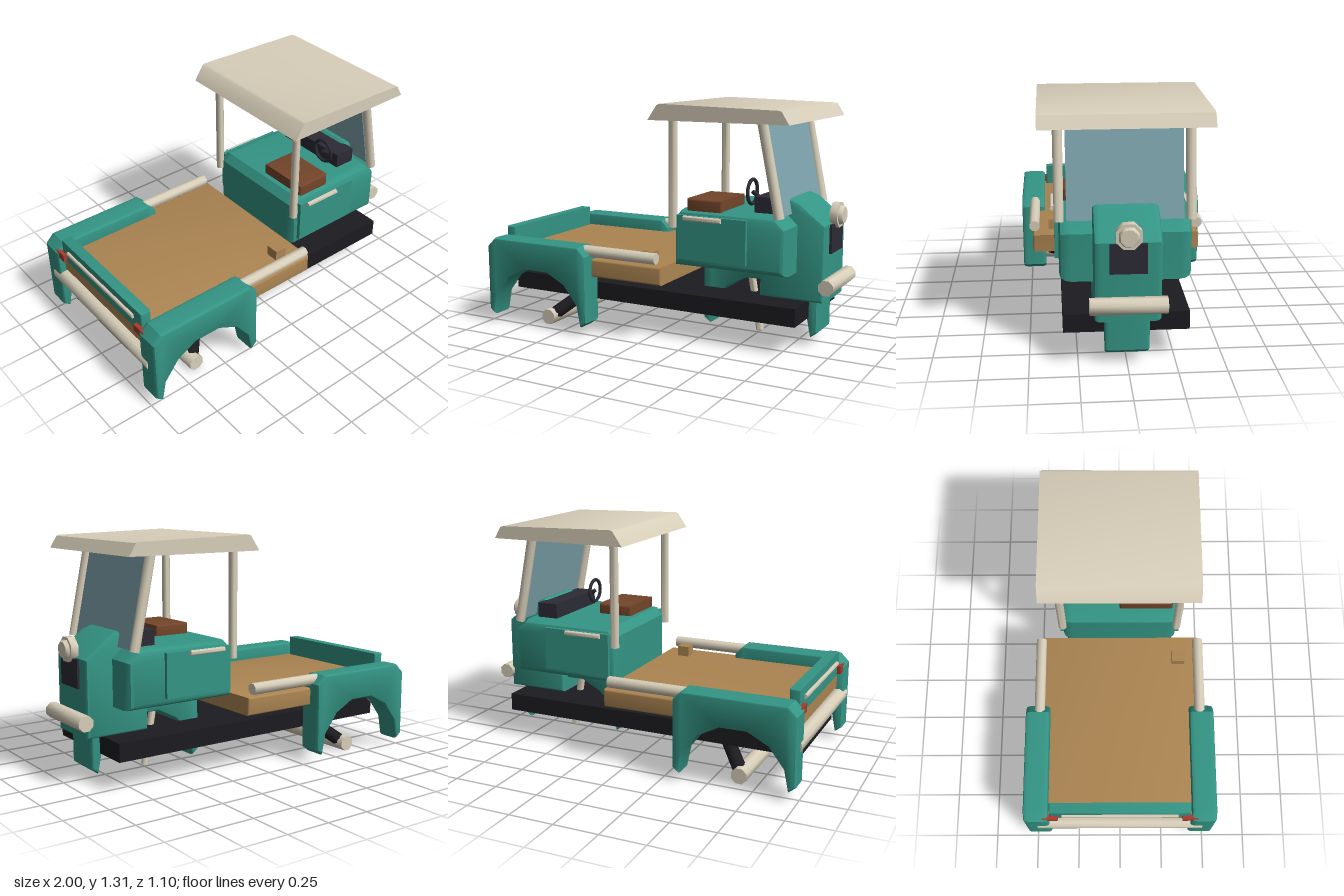
import * as THREE from 'three';
import { toCreasedNormals } from 'three/addons/utils/BufferGeometryUtils.js';

const mat = (name, color) => new THREE.MeshStandardMaterial({ name, color });

export function createModel() {
  const model = new THREE.Group();
  model.name = 'cargoTricycle';

  const green = mat('green paint', 0x349585);
  const cream = mat('cream trim', 0xd8cfba);
  const wood = mat('tan wood', 0xac8552);
  const black = mat('black chassis', 0x1c1b20);
  const dark = mat('dark grey', 0x2c2b35);
  const brown = mat('brown seat', 0x73452a);
  const red = mat('red lamp', 0xa83a2c);
  const glass = mat('blue glass', 0x7fa5ae);
  glass.side = THREE.DoubleSide;

  const add = (name, geometry, material) => {
    const mesh = new THREE.Mesh(geometry, material);
    mesh.name = name;
    model.add(mesh);
    return mesh;
  };

  // Box given by its limits on each axis
  const box = (name, material, [x0, x1], [y0, y1], [z0, z1]) =>
    add(name, new THREE.BoxGeometry(x1 - x0, y1 - y0, z1 - z0), material)
      .position.set((x0 + x1) / 2, (y0 + y1) / 2, (z0 + z1) / 2);

  // Eight-sided bar between two points
  const bar = (name, material, from, to, r, r2 = r) => {
    const a = new THREE.Vector3(...from);
    const b = new THREE.Vector3(...to);
    const geo = new THREE.CylinderGeometry(r2, r, a.distanceTo(b), 8);
    geo.rotateY(Math.PI / 8);
    const mesh = add(name, toCreasedNormals(geo, 0.9), material);
    mesh.position.copy(a).add(b).multiplyScalar(0.5);
    mesh.quaternion.setFromUnitVectors(new THREE.Vector3(0, 1, 0), b.sub(a).normalize());
    return mesh;
  };

  // Side profile extruded across z, with edges rounded inside the outline
  const slab = (name, material, points, z0, z1, size = 0, thickness = size) => {
    const shape = new THREE.Shape(points.map(([x, y]) => new THREE.Vector2(x, y)));
    const geo = new THREE.ExtrudeGeometry(shape, {
      depth: z1 - z0 - 2 * thickness,
      bevelEnabled: size > 0,
      bevelSize: size,
      bevelThickness: thickness,
      bevelOffset: -size,
      bevelSegments: 3,
    });
    geo.translate(0, 0, z0 + thickness);
    return add(name, toCreasedNormals(geo, 0.6), material);
  };

  // Chassis and cargo bed
  box('chassis', black, [-0.95, 0.84], [0.165, 0.265], [-0.325, 0.325]);
  slab('cargoBed', wood, [[-0.95, 0.335], [0.13, 0.335], [0.13, 0.435], [-0.95, 0.435]], -0.48, 0.48, 0.012);
  box('bedBlock', wood, [-0.04, 0.03], [0.43, 0.495], [0.315, 0.39]);

  // Wheel arches share one profile
  const arch = [
    [-0.34, 0.08], [-0.3, 0.05], [-0.275, 0.17], [-0.19, 0.28], [-0.075, 0.34],
    [0.075, 0.34], [0.19, 0.28], [0.275, 0.17], [0.3, 0.05], [0.34, 0.08],
    [0.34, 0.46], [0.29, 0.51], [-0.29, 0.51], [-0.34, 0.46],
  ];
  const fender = (name, x, z0, z1) =>
    slab(name, green, arch.map(([px, y]) => [px + x, y]), z0, z1, 0.012, 0.025);
  fender('frontFender', 0.547, -0.115, 0.115);

  // Paired side parts
  for (const s of [1, -1]) {
    const side = s > 0 ? 'left' : 'right';
    const span = (a, b) => (s > 0 ? [a, b] : [-b, -a]);
    fender(side + 'RearFender', -0.65, ...span(0.41, 0.55));
    bar(side + 'BedRail', cream, [-0.9, 0.48, s * 0.47], [0.1, 0.48, s * 0.47], 0.032);
    bar(side + 'AxleArm', black, [-0.49, 0.19, s * 0.22], [-0.65, 0.045, s * 0.39], 0.038);
    bar(side + 'ForkLeg', cream, [0.49, 0.36, s * 0.08], [0.545, 0.045, s * 0.08], 0.021);
    bar(side + 'RearPost', cream, [0.13, 0.635, s * 0.335], [0.13, 1.225, s * 0.335], 0.024);
    bar(side + 'FrontPost', cream, [0.748, 0.73, s * 0.335], [0.647, 1.225, s * 0.335], 0.027);
    box(side + 'Door', green, [0.163, 0.57], [0.467, 0.71], span(0.33, 0.358));
    bar(side + 'DoorHandle', cream, [0.21, 0.697, s * 0.366], [0.43, 0.697, s * 0.366], 0.014);
    box(side + 'TailLamp', red, [-0.982, -0.952], [0.43, 0.475], span(0.355, 0.445));
  }

  // Rear end
  slab('tailgate', green, [[-0.96, 0.42], [-0.9, 0.42], [-0.9, 0.555], [-0.96, 0.555]], -0.4, 0.4, 0.008);
  bar('tailgateStrip', cream, [-0.963, 0.5, -0.33], [-0.963, 0.5, 0.33], 0.013);
  bar('rearBumper', cream, [-0.957, 0.28, -0.48], [-0.957, 0.28, 0.48], 0.044);
  bar('rearAxle', cream, [-0.65, 0.044, -0.435], [-0.65, 0.044, 0.435], 0.046);

  // Cab tub and nose
  slab('cabBody', green, [
    [0.13, 0.42], [0.785, 0.42], [0.785, 0.675], [0.72, 0.735], [0.17, 0.735], [0.13, 0.69],
  ], -0.337, 0.337, 0.03, 0.06);
  slab('nose', green, [
    [0.57, 0.262], [0.937, 0.262], [0.937, 0.68], [0.79, 0.795], [0.69, 0.83], [0.57, 0.75],
  ], -0.168, 0.168, 0.015, 0.03);

  // Nose fittings
  bar('headlampRim', cream, [0.925, 0.72, 0], [0.967, 0.72, 0], 0.07);
  bar('headlampLens', cream, [0.967, 0.72, 0], [0.988, 0.72, 0], 0.055, 0.045);
  box('grille', dark, [0.93, 0.95], [0.522, 0.677], [-0.093, 0.093]);
  bar('frontBumper', cream, [0.957, 0.358, -0.195], [0.957, 0.358, 0.195], 0.044);

  // Windscreen leaning back between the front posts
  const screen = add('windscreen', new THREE.BoxGeometry(0.008, 0.487, 0.594), glass);
  screen.position.set(0.7, 0.972, 0);
  screen.rotation.z = Math.atan2(0.101, 0.495);

  // Roof
  slab('roof', cream, [
    [0.03, 1.22], [0.83, 1.22], [0.79, 1.285], [0.775, 1.29], [0.1, 1.307], [0.085, 1.3],
  ], -0.435, 0.435);

  // Cab interior
  slab('seat', brown, [[0.2, 0.71], [0.408, 0.71], [0.408, 0.795], [0.2, 0.795]], 0.0, 0.31, 0.012);
  box('dashboard', dark, [0.565, 0.69], [0.72, 0.82], [-0.23, 0.23]);
  const wheel = add('steeringWheel', new THREE.TorusGeometry(0.066, 0.01, 8, 20), dark);
  wheel.rotation.y = Math.PI / 2;
  wheel.position.set(0.52, 0.835, 0.155);
  bar('steeringColumn', dark, [0.52, 0.835, 0.155], [0.6, 0.78, 0.155], 0.012);

  return model;
}
